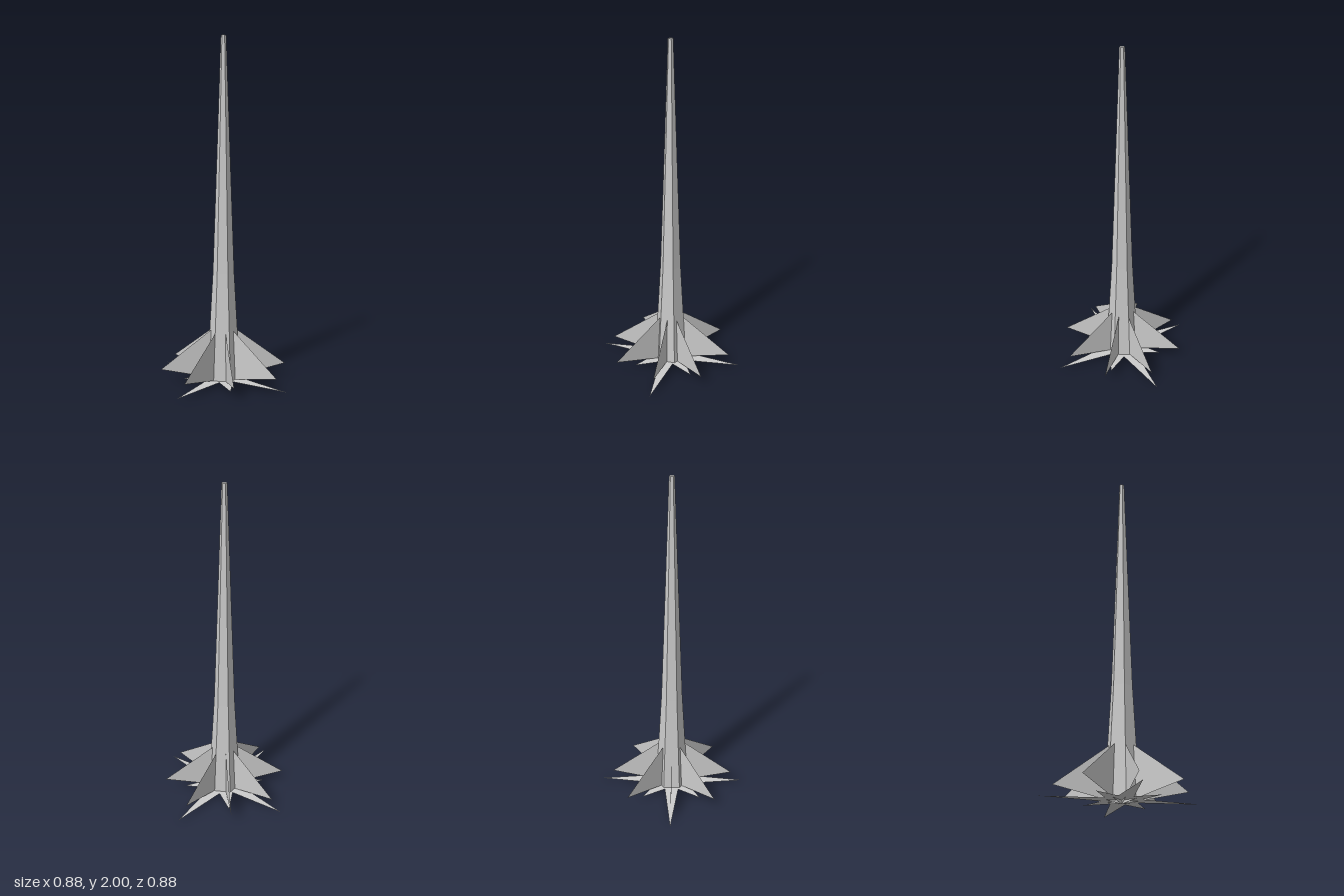
import * as THREE from 'three';

const V = (x, y) => new THREE.Vector2(x, y);

export function createModel() {
  const model = new THREE.Group();
  const grey = new THREE.MeshStandardMaterial({ color: 0xcccccc });
  grey.name = 'light grey';
  grey.side = THREE.DoubleSide;

  const add = (name, geometry) => {
    const mesh = new THREE.Mesh(geometry, grey);
    mesh.name = name;
    model.add(mesh);
    return mesh;
  };

  // Tapering six-sided spire with a flat cap; its open foot rests on the star
  const profile = [V(0.098, 0.02), V(0.062, 0.65), V(0.038, 1.33), V(0.015, 2), V(0, 2)];
  const spire = new THREE.LatheGeometry(profile, 6, Math.PI / 2).toNonIndexed();
  spire.computeVertexNormals();
  add('spire', spire);

  // Flat star plate: long points on the axes, short ones on the diagonals
  const outline = [];
  for (let i = 0; i < 16; i++) {
    const r = i % 2 ? 0.108 : i % 4 ? 0.247 : 0.44;
    const a = (i * Math.PI) / 8;
    outline.push(V(r * Math.cos(a), r * Math.sin(a)));
  }
  const star = new THREE.ShapeGeometry(new THREE.Shape(outline));
  star.rotateX(-Math.PI / 2);
  add('starPlate', star).position.y = 0.02;

  // Eight upright fins meeting on the axis, their roots dipping below the star
  const fin = new THREE.ShapeGeometry(new THREE.Shape([V(0, 0), V(0.37, 0.083), V(0, 0.365)]));
  for (let i = 0; i < 8; i++) {
    add('fin' + (i + 1), fin).rotation.y = (i * Math.PI) / 4;
  }
  return model;
}
